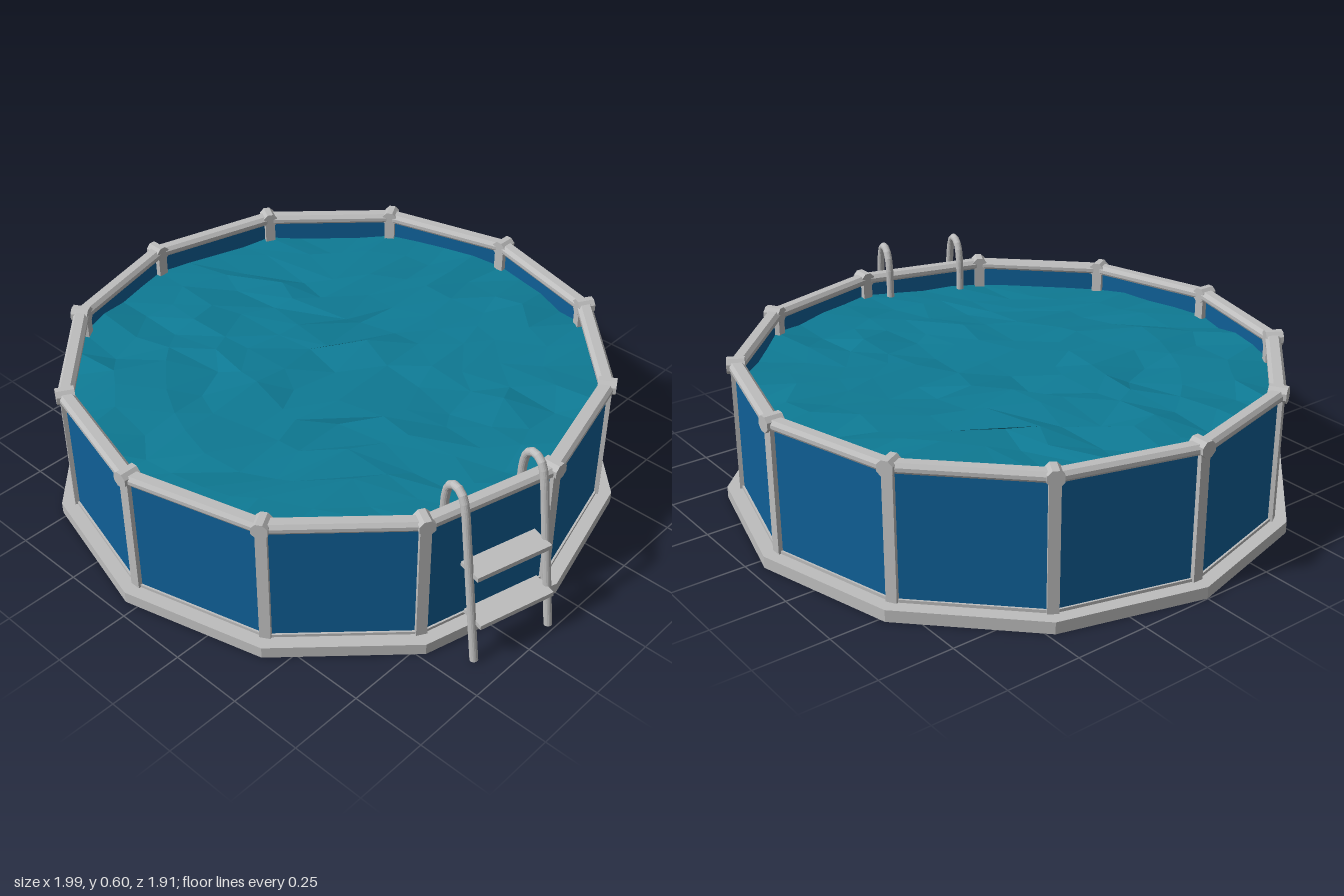
import * as THREE from 'three';

const SIDES = 12, STEP = Math.PI / 6;

// faceted normals for the low-poly look
function flat(geo) {
  const g = geo.index ? geo.toNonIndexed() : geo;
  g.computeVertexNormals();
  return g;
}

// twelve-sided ring from a closed [radius, y] profile
function ring(profile) {
  return flat(new THREE.LatheGeometry(profile.map(([r, y]) => new THREE.Vector2(r, y)), SIDES));
}

function seeded(seed) {
  return () => {
    seed = (seed * 16807) % 2147483647;
    return seed / 2147483647;
  };
}

// rippled surface: a square grid wrapped onto a twelve-sided disc
function waterGeometry(radius, level) {
  const n = 12, rand = seeded(77);
  const geo = new THREE.PlaneGeometry(2, 2, n, n).rotateX(-Math.PI / 2);
  const p = geo.attributes.position;
  for (let i = 0; i < p.count; i++) {
    const x = p.getX(i), z = p.getZ(i), m = Math.max(Math.abs(x), Math.abs(z));
    let a = 0;
    if (m > 1e-6) {
      if (Math.abs(x) >= Math.abs(z)) a = (Math.PI / 4) * (z / x) + (x < 0 ? Math.PI : 0);
      else a = Math.PI / 2 - (Math.PI / 4) * (x / z) + (z < 0 ? Math.PI : 0);
    }
    const local = ((a % STEP) + STEP) % STEP - STEP / 2;
    const r = m * radius * Math.cos(STEP / 2) / Math.cos(local);
    const j = m < 0.99 ? 0.075 : 0;
    p.setXYZ(i,
      r * Math.cos(a) + (rand() - 0.5) * j,
      level + (rand() - 0.5) * 0.028,
      r * Math.sin(a) + (rand() - 0.5) * j);
  }
  return flat(geo);
}

export function createModel() {
  const material = (name, color) => {
    const m = new THREE.MeshStandardMaterial({ color });
    m.name = name;
    return m;
  };
  const grey = material('light grey', 0xbdbdbd);
  const blue = material('wall blue', 0x0f5f96);
  const teal = material('water teal', 0x0e7a94);

  const model = new THREE.Group();
  model.name = 'swimmingPool';
  const add = (parent, name, geo, mat) => {
    const mesh = new THREE.Mesh(geo, mat);
    mesh.name = name;
    parent.add(mesh);
    return mesh;
  };

  const pool = new THREE.Group();
  pool.name = 'pool';
  pool.position.x = -0.043;
  model.add(pool);

  // base slab
  add(pool, 'base', flat(new THREE.CylinderGeometry(0.956, 0.956, 0.04, SIDES).translate(0, 0.02, 0)), grey);

  // wall and water
  add(pool, 'wall', ring([[0.893, 0.04], [0.903, 0.04], [0.903, 0.475], [0.893, 0.475], [0.893, 0.04]]), blue);
  add(pool, 'water', waterGeometry(0.895, 0.4), teal);

  // bevelled top rail
  add(pool, 'topRail', ring([
    [0.872, 0.465], [0.918, 0.465], [0.922, 0.472], [0.922, 0.484], [0.912, 0.496],
    [0.88, 0.496], [0.868, 0.484], [0.868, 0.472], [0.872, 0.465],
  ]), grey);

  // thin trim at the foot of the wall
  add(pool, 'bottomTrim', ring([[0.89, 0.04], [0.91, 0.04], [0.91, 0.05], [0.89, 0.05], [0.89, 0.04]]), grey);

  // posts with rounded caps at every corner
  const postGeo = new THREE.BoxGeometry(0.044, 0.44, 0.036).translate(0.891, 0.26, 0);
  const capGeo = flat(new THREE.CylinderGeometry(0.028, 0.028, 0.06, 8)
    .rotateY(Math.PI / 8).rotateZ(Math.PI / 2).translate(0.895, 0.48, 0));
  for (let i = 0; i < SIDES; i++) {
    const corner = new THREE.Group();
    corner.name = 'corner' + (i + 1);
    corner.rotation.y = i * STEP;
    add(corner, 'post', postGeo, grey);
    add(corner, 'postCap', capGeo, grey);
    pool.add(corner);
  }

  // ladder hooked over the middle of one side, +x pointing outward
  const ladder = new THREE.Group();
  ladder.name = 'ladder';
  ladder.rotation.y = -STEP / 2;
  pool.add(ladder);

  const path = new THREE.CatmullRomCurve3([
    [0.83, 0.39], [0.831, 0.45], [0.835, 0.52], [0.85, 0.567], [0.883, 0.588], [0.914, 0.574],
    [0.932, 0.53], [0.948, 0.44], [0.97, 0.306], [0.994, 0.16], [1.02, 0.004],
  ].map(([x, y]) => new THREE.Vector3(x, y, 0)));
  const section = new THREE.Shape().absarc(0, 0, 0.0135, 0, Math.PI * 2);
  const railGeo = flat(new THREE.ExtrudeGeometry(section, {
    steps: 36, curveSegments: 8, bevelEnabled: false, extrudePath: path,
  }));
  for (const side of [-1, 1]) {
    add(ladder, side < 0 ? 'ladderRailBack' : 'ladderRailFront', railGeo, grey).position.z = side * 0.14;
  }
  for (const [r, y] of [[0.962, 0.315], [0.992, 0.147]]) {
    add(ladder, 'ladderStep', new THREE.BoxGeometry(0.085, 0.016, 0.27), grey).position.set(r, y, 0);
  }

  return model;
}
